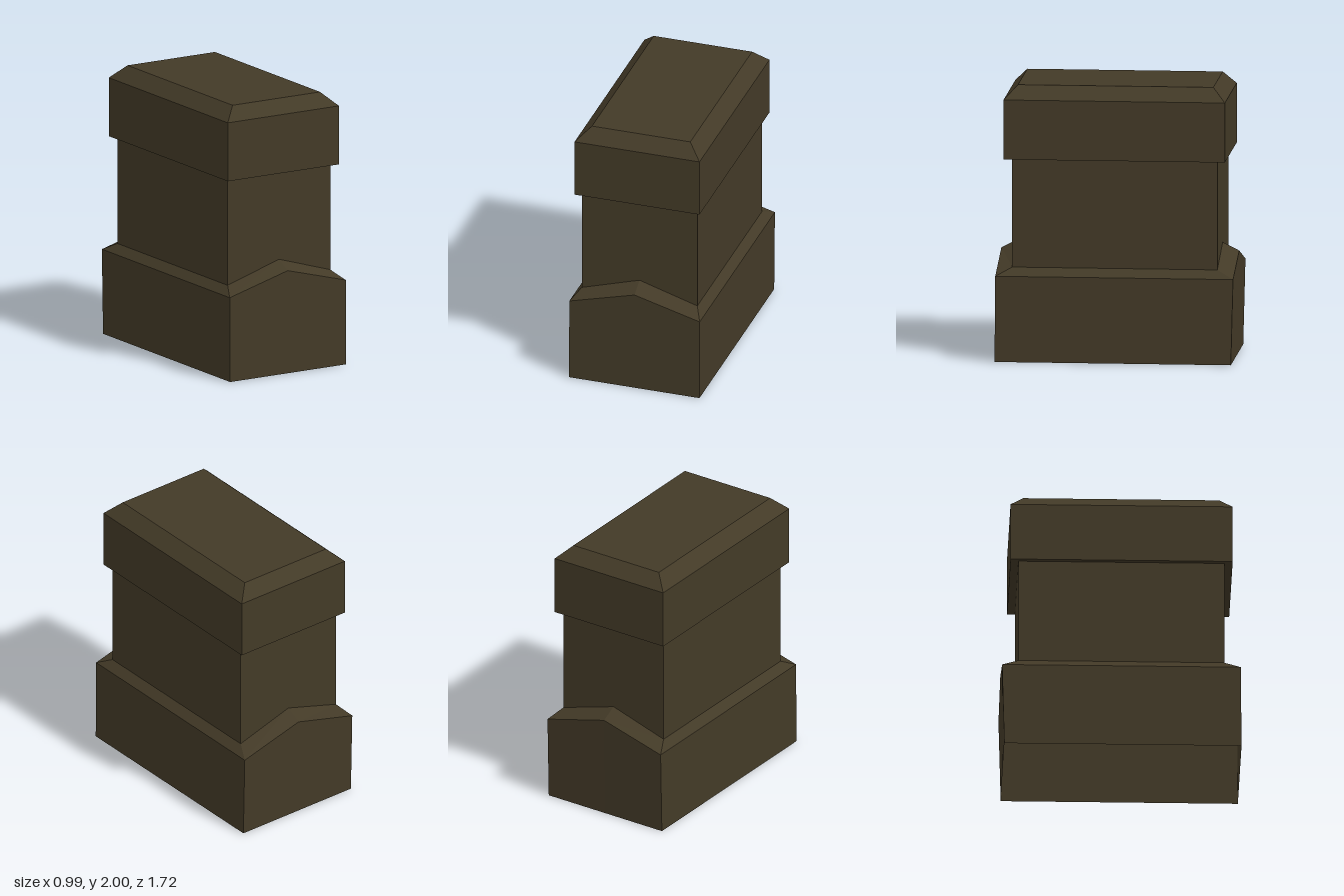
import * as THREE from 'three';

// Six-point loop, counter-clockwise from above; the end midpoints may rise to a peak
function ring(x0, x1, zBack, zFront, y, peak = y) {
  const mid = (x0 + x1) / 2;
  return [
    [x1, y, zFront], [x1, y, zBack], [mid, peak, zBack],
    [x0, y, zBack], [x0, y, zFront], [mid, peak, zFront],
  ];
}

// Skin a stack of loops, bottom to top, optionally closing the top
function skin(name, rings, material, closeTop = false) {
  const pos = [];
  const tri = (a, b, c) => pos.push(...a, ...b, ...c);
  for (let r = 0; r < rings.length - 1; r++) {
    const lo = rings[r], hi = rings[r + 1];
    for (let i = 0; i < 6; i++) {
      const j = (i + 1) % 6;
      tri(lo[i], lo[j], hi[j]);
      tri(lo[i], hi[j], hi[i]);
    }
  }
  if (closeTop) {
    const top = rings[rings.length - 1];
    for (let i = 1; i < 5; i++) tri(top[0], top[i], top[i + 1]);
  }
  const geo = new THREE.BufferGeometry();
  geo.setAttribute('position', new THREE.Float32BufferAttribute(pos, 3));
  geo.computeVertexNormals();
  const mesh = new THREE.Mesh(geo, material);
  mesh.name = name;
  return mesh;
}

export function createModel() {
  const group = new THREE.Group();
  group.name = 'chimney';
  const stone = new THREE.MeshStandardMaterial({
    color: 0x433a27, side: THREE.DoubleSide, flatShading: true,
  });
  stone.name = 'dark brown stone';

  const foot = ring(-0.495, 0.492, -0.842, 0.863, 0);
  const shoulder = ring(-0.495, 0.492, -0.858, 0.858, 0.623, 0.758);
  const shaftFoot = ring(-0.439, 0.435, -0.739, 0.741, 0.683, 0.818);
  const shaftTop = ring(-0.439, 0.435, -0.739, 0.741, 1.47);
  const capFoot = ring(-0.475, 0.471, -0.797, 0.8, 1.47);
  const capEdge = ring(-0.475, 0.471, -0.797, 0.8, 1.903);
  const capTop = ring(-0.374, 0.37, -0.705, 0.705, 2);

  // Hollow base, open underneath, with sloped gabled shoulders
  group.add(skin('base', [foot, shoulder], stone));
  group.add(skin('baseShoulder', [shoulder, shaftFoot], stone));
  group.add(skin('shaft', [shaftFoot, shaftTop], stone));
  // Overhanging cap with bevelled top
  group.add(skin('capUnderside', [shaftTop, capFoot], stone));
  group.add(skin('cap', [capFoot, capEdge, capTop], stone, true));
  return group;
}
